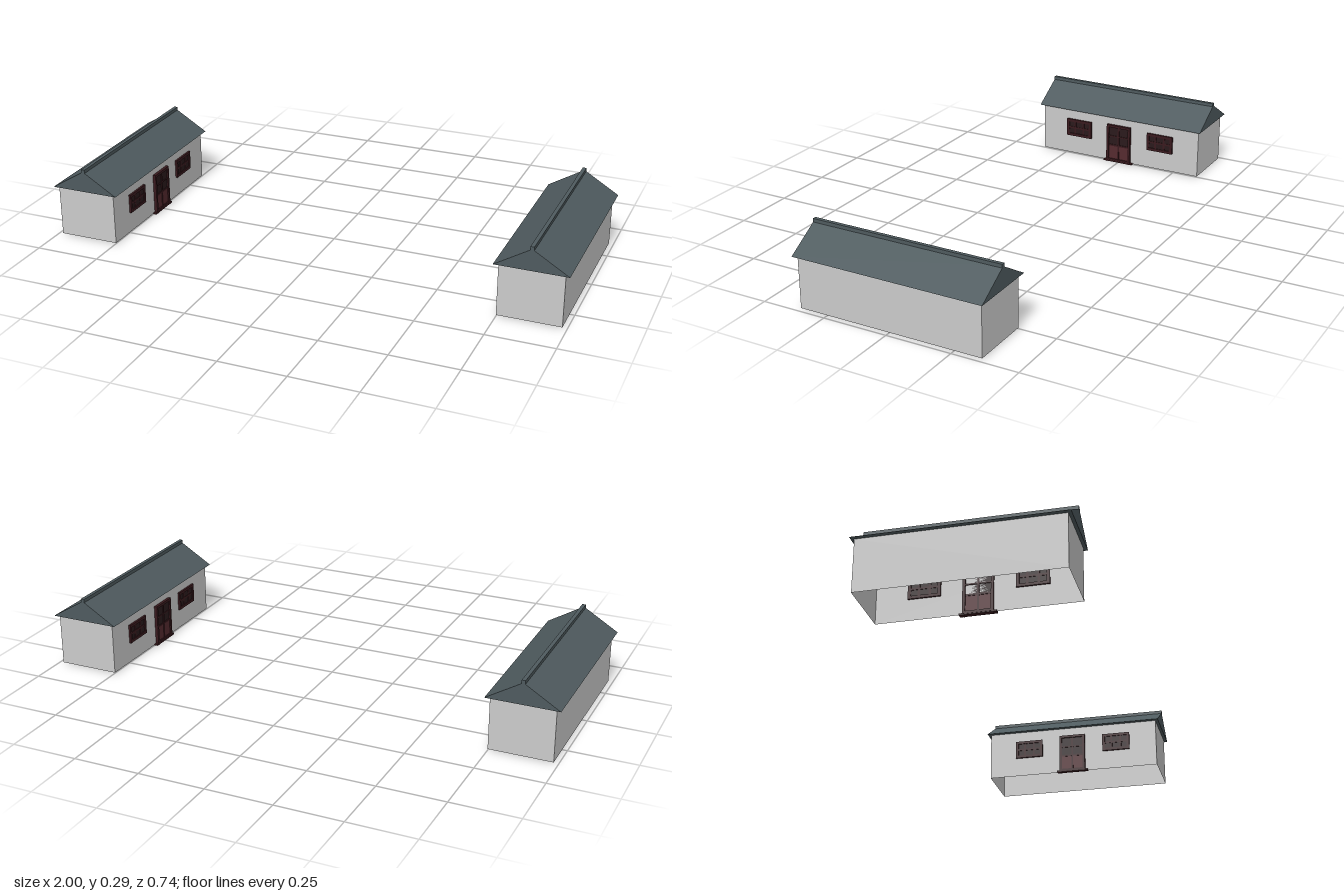
import * as THREE from 'three';

const mat = (color) => new THREE.MeshStandardMaterial({ color, flatShading: true, side: THREE.DoubleSide });
const wallMat = mat(0xcccccc);
const roofMat = mat(0x4f5b5f);
const frameMat = mat(0x3a1a1e);
const panelMat = mat(0x552a2f);
const glassMat = mat(0x2a1a1c);

function box(parent, name, material, size, pos) {
  const mesh = new THREE.Mesh(new THREE.BoxGeometry(...size), material);
  mesh.name = name;
  mesh.position.set(...pos);
  parent.add(mesh);
  return mesh;
}

// Rectangular frame in the local yz plane, with glazing bars
function framed(parent, name, w, h, t, depth, cols, rows) {
  for (const s of [-1, 1]) {
    box(parent, name + 'Upright', frameMat, [depth, h, t], [0, 0, s * (w - t) / 2]);
    box(parent, name + 'Rail', frameMat, [depth, t, w - 2 * t], [0, s * (h - t) / 2, 0]);
  }
  for (let i = 1; i < cols; i++)
    box(parent, name + 'Bar', frameMat, [depth * 0.7, h - 2 * t, t * 0.7], [0, 0, -w / 2 + (w * i) / cols]);
  for (let i = 1; i < rows; i++)
    box(parent, name + 'Bar', frameMat, [depth * 0.7, t * 0.7, w - 2 * t], [0, -h / 2 + (h * i) / rows, 0]);
}

function createWindow(z) {
  const g = new THREE.Group();
  g.name = 'window';
  framed(g, 'window', 0.115, 0.074, 0.011, 0.014, 3, 2);
  box(g, 'windowPane', glassMat, [0.006, 0.06, 0.1], [0, 0, 0]);
  g.position.set(0.118, 0.119, z);
  return g;
}

function createDoor() {
  const g = new THREE.Group();
  g.name = 'door';
  framed(g, 'doorFrame', 0.108, 0.16, 0.01, 0.018, 2, 1);
  // Two leaves: solid lower panel, glazed upper part
  for (const s of [-1, 1]) {
    box(g, 'doorPanel', panelMat, [0.008, 0.06, 0.042], [0, -0.042, s * 0.023]);
    box(g, 'doorGlass', glassMat, [0.006, 0.084, 0.042], [0, 0.03, s * 0.023]);
    box(g, 'doorBar', frameMat, [0.012, 0.007, 0.042], [0, -0.01, s * 0.023]);
    box(g, 'doorBar', frameMat, [0.012, 0.005, 0.042], [0, 0.03, s * 0.023]);
  }
  g.position.set(0.12, 0.084, 0);
  return g;
}

// House with its door on the local +x side
function createHouse() {
  const house = new THREE.Group();
  house.name = 'house';

  // Walls: four sides, open below
  const outline = new THREE.Shape([[-0.117, -0.357], [0.117, -0.357], [0.117, 0.357], [-0.117, 0.357]]
    .map(([x, y]) => new THREE.Vector2(x, y)));
  const wallGeo = new THREE.BufferGeometry();
  const pts = outline.getPoints();
  const verts = [];
  for (let i = 0; i < 4; i++) {
    const a = pts[i], b = pts[(i + 1) % 4];
    const quad = [[a, 0.003], [a, 0.2], [b, 0.2], [a, 0.003], [b, 0.2], [b, 0.003]];
    for (const [p, y] of quad) verts.push(p.x, y, p.y);
  }
  wallGeo.setAttribute('position', new THREE.Float32BufferAttribute(verts, 3));
  wallGeo.computeVertexNormals();
  const walls = new THREE.Mesh(wallGeo, wallMat);
  walls.name = 'walls';
  house.add(walls);

  // Gable roof
  const gable = new THREE.Shape();
  gable.moveTo(-0.134, 0.2);
  gable.lineTo(0.134, 0.2);
  gable.lineTo(0, 0.281);
  gable.closePath();
  const roof = new THREE.Mesh(
    new THREE.ExtrudeGeometry(gable, { depth: 0.738, bevelEnabled: false }).translate(0, 0, -0.369), roofMat);
  roof.name = 'roof';
  house.add(roof);
  box(house, 'ridgeCap', roofMat, [0.014, 0.014, 0.738], [0, 0.283, 0]);

  // Door, step and windows
  house.add(createDoor());
  box(house, 'doorStep', frameMat, [0.018, 0.006, 0.13], [0.121, 0.004, 0]);
  for (const s of [-1, 1]) {
    box(house, 'stepFoot', frameMat, [0.018, 0.004, 0.007], [0.121, 0.002, s * 0.05]);
    house.add(createWindow(s * 0.187));
  }
  return house;
}

export function createModel() {
  const model = new THREE.Group();
  model.name = 'facingHouses';
  // Two houses facing each other
  for (const s of [-1, 1]) {
    const house = createHouse();
    house.name = s > 0 ? 'leftHouse' : 'rightHouse';
    house.position.x = s * 0.866;
    if (s > 0) house.rotation.y = Math.PI;
    model.add(house);
  }
  return model;
}
